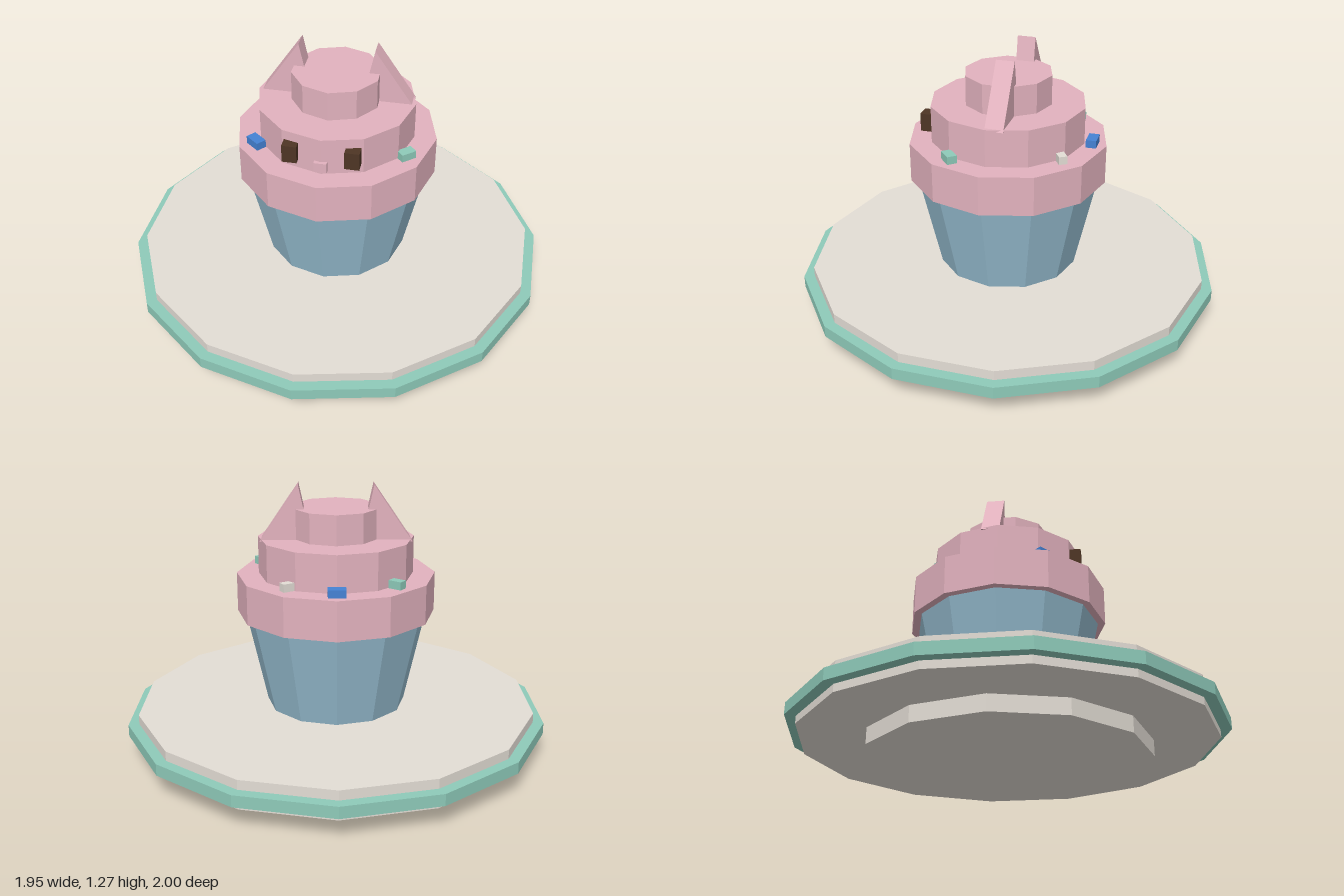
import * as THREE from 'three';

const mat = (name, color) => {
  const m = new THREE.MeshStandardMaterial({ color, flatShading: true });
  m.name = name;
  return m;
};

export function createModel() {
  const cream = mat('cream', 0xe3ddd5);
  const mint = mat('mint', 0x8ecab9);
  const wrapperBlue = mat('wrapper blue', 0x96bdd0);
  const pink = mat('frosting pink', 0xe2b2be);
  const brown = mat('dark brown', 0x4e3524);
  const blue = mat('bright blue', 0x4482d4);

  const model = new THREE.Group();
  model.name = 'cupcakeOnPlate';

  const add = (name, geometry, material, x = 0, y = 0, z = 0) => {
    const mesh = new THREE.Mesh(geometry, material);
    mesh.name = name;
    mesh.position.set(x, y, z);
    model.add(mesh);
    return mesh;
  };

  // Faceted round tier between heights y0 and y1
  const tier = (name, rTop, rBottom, y0, y1, sides, material) =>
    add(name, new THREE.CylinderGeometry(rTop, rBottom, y1 - y0, sides), material, 0, (y0 + y1) / 2, 0);

  // Plate
  tier('plateFoot', 0.655, 0.655, 0, 0.075, 12, cream);
  tier('plate', 0.95, 0.95, 0.075, 0.21, 14, cream);
  tier('plateRim', 1, 1, 0.11, 0.165, 14, mint);

  // Wrapper and stacked frosting
  tier('wrapper', 0.43, 0.33, 0.21, 0.66, 12, wrapperBlue);
  tier('lowerFrosting', 0.465, 0.465, 0.66, 0.845, 12, pink);
  tier('middleFrosting', 0.362, 0.362, 0.845, 1.02, 12, pink);
  tier('topFrosting', 0.205, 0.205, 1.02, 1.16, 10, pink);

  // Face: ears and eyes mirrored in x
  for (const side of [1, -1]) {
    const label = side > 0 ? 'left' : 'right';
    const outline = [[0.115, 1.01], [0.35, 1.01], [0.172, 1.272]]
      .map(([x, y]) => new THREE.Vector2(side * x, y));
    const ear = new THREE.ExtrudeGeometry(new THREE.Shape(outline), { depth: 0.085, bevelEnabled: false });
    add(label + 'Ear', ear, pink, 0, 0, -0.079);
    add(label + 'Eye', new THREE.BoxGeometry(0.066, 0.084, 0.055), brown, side * 0.138, 0.933, 0.341);
  }
  add('nose', new THREE.BoxGeometry(0.058, 0.048, 0.05), pink, 0, 0.884, 0.35);

  // Sprinkles: x, z, length, width, turn, material
  [
    [0, -0.4, 0.08, 0.048, 0, blue],
    [-0.33, 0.205, 0.08, 0.048, -0.69, blue],
    [-0.268, -0.272, 0.064, 0.042, -0.65, mint],
    [0.348, 0.17, 0.072, 0.046, 0.72, mint],
    [0.218, -0.306, 0.055, 0.038, 0.55, cream],
  ].forEach(([x, z, length, width, turn, material], i) => {
    add('sprinkle' + (i + 1), new THREE.BoxGeometry(length, 0.04, width), material, x, 0.862, z).rotation.y = turn;
  });

  return model;
}
